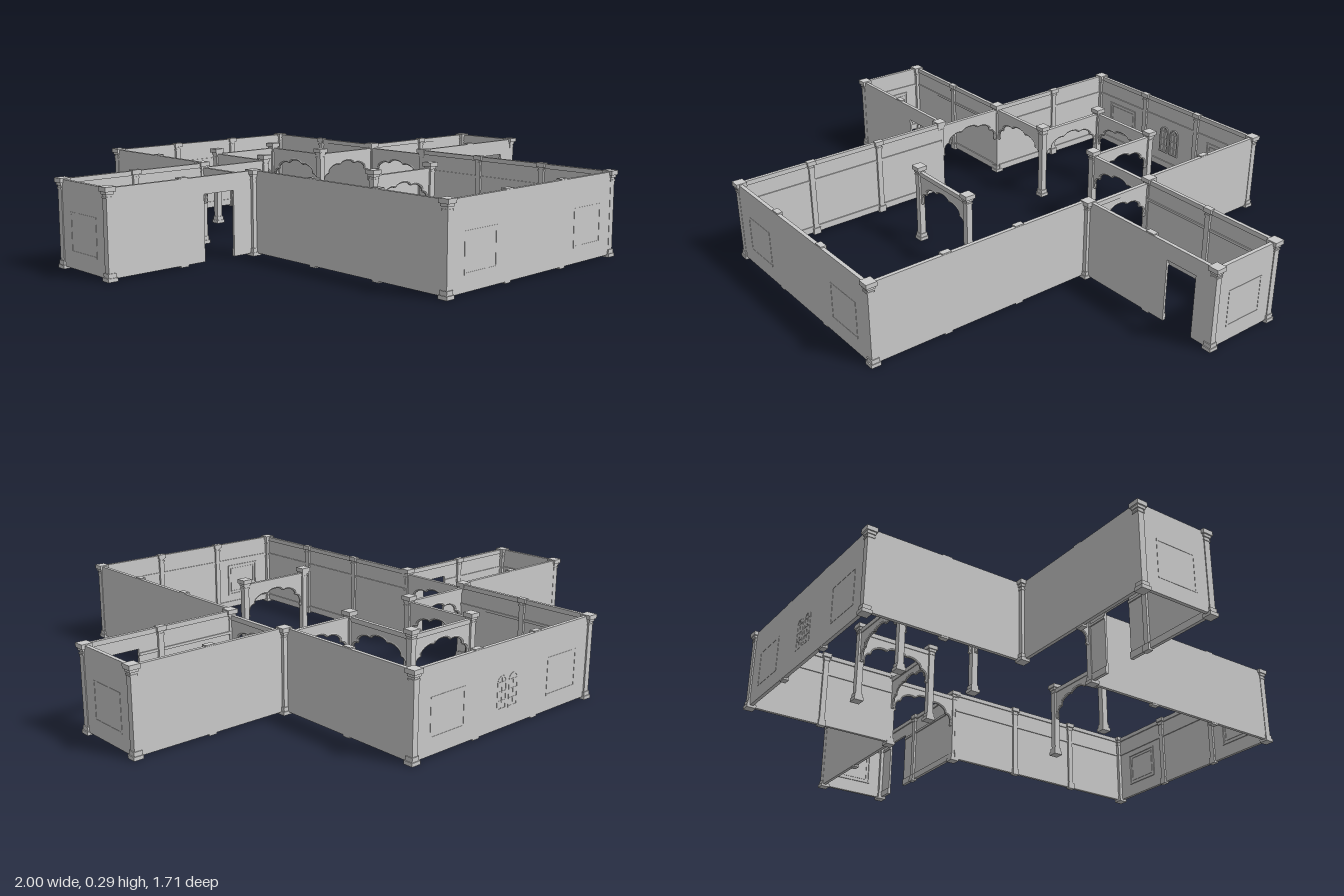
import * as THREE from 'three';

const mat = new THREE.MeshStandardMaterial({ color: 0xcccccc, side: THREE.DoubleSide, flatShading: true });
const H = 0.29, FLOOR = 0.008, THICK = 0.008, DOOR_H = 0.23;

function add(parent, name, geo, x = 0, y = 0, z = 0) {
  const m = new THREE.Mesh(geo, mat);
  m.name = name;
  m.position.set(x, y, z);
  parent.add(m);
  return m;
}

// box given by its min and max corners
function block(parent, name, x0, x1, y0, y1, z0, z1) {
  return add(parent, name, new THREE.BoxGeometry(x1 - x0, y1 - y0, z1 - z0),
    (x0 + x1) / 2, (y0 + y1) / 2, (z0 + z1) / 2);
}

function poly(points) {
  return new THREE.Shape(points.map(([x, y]) => new THREE.Vector2(x, y)));
}

function extrude(shape, depth) {
  return new THREE.ExtrudeGeometry(shape, { depth, bevelEnabled: false, curveSegments: 8 });
}

// group whose local x runs from a to b in plan, with local z to the inside
function run(root, name, [ax, az], [bx, bz]) {
  const g = new THREE.Group();
  g.name = name;
  g.position.set(ax, 0, az);
  g.rotation.y = Math.atan2(-(bz - az), bx - ax);
  root.add(g);
  return [g, Math.hypot(bx - ax, bz - az)];
}

// rectangular moulding ring
function frame(parent, name, x0, x1, y0, y1, z0, z1, w = 0.006) {
  const s = poly([[x0, y0], [x1, y0], [x1, y1], [x0, y1]]);
  s.holes.push(poly([[x0 + w, y0 + w], [x0 + w, y1 - w], [x1 - w, y1 - w], [x1 - w, y0 + w]]));
  add(parent, name, extrude(s, z1 - z0), 0, 0, z0);
}

// pair of round-headed blind windows with glazing bars
function twinWindow(parent, cx) {
  for (const s of [-1, 1]) {
    const x = cx + s * 0.027, w = 0.022;
    const outline = (r) => {
      const sh = new THREE.Shape();
      sh.moveTo(-r, 0.07 + (w - r));
      sh.lineTo(r, 0.07 + (w - r));
      sh.lineTo(r, 0.16);
      sh.absarc(0, 0.16, r, 0, Math.PI, false);
      sh.closePath();
      return sh;
    };
    const ring = outline(w);
    ring.holes.push(outline(w - 0.005));
    add(parent, 'windowFrame', extrude(ring, THICK + 0.006), x, 0, -0.001);
    block(parent, 'windowBar', x - 0.0015, x + 0.0015, 0.073, 0.178, -0.001, THICK + 0.004);
    for (const y of [0.1, 0.13, 0.16]) {
      block(parent, 'windowBar', x - w, x + w, y - 0.0015, y + 0.0015, -0.001, THICK + 0.004);
    }
  }
}

// wall with optional doorway, inside mouldings, pilasters and framed panels
function wall(root, name, a, b, { door, pilasters = [], panels = [], window } = {}) {
  const [g, L] = run(root, name, a, b);
  const pts = [[0, FLOOR]];
  if (door) pts.push([door[0], FLOOR], [door[0], DOOR_H], [door[1], DOOR_H], [door[1], FLOOR]);
  pts.push([L, FLOOR], [L, H - 0.004], [0, H - 0.004]);
  add(g, 'wallPanel', extrude(poly(pts), THICK));
  block(g, 'crown', 0, L, 0.272, H - 0.002, 0, THICK + 0.005);
  for (const [x0, x1] of door ? [[0, door[0]], [door[1], L]] : [[0, L]]) {
    block(g, 'skirting', x0, x1, FLOOR, 0.032, 0.001, THICK + 0.004);
    block(g, 'rail', x0, x1, 0.208, 0.217, 0.001, THICK + 0.004);
  }
  for (const x of pilasters) {
    block(g, 'pilasterShaft', x - 0.01, x + 0.01, 0.02, 0.275, 0.001, THICK + 0.008);
    block(g, 'pilasterBase', x - 0.014, x + 0.014, 0.002, 0.026, 0.001, THICK + 0.012);
    block(g, 'pilasterNeck', x - 0.012, x + 0.012, 0.262, 0.268, 0.001, THICK + 0.01);
    block(g, 'pilasterCapital', x - 0.017, x + 0.017, 0.276, H + 0.002, 0.001, THICK + 0.013);
  }
  for (const [x, w] of panels) {
    frame(g, 'panelFrame', x - w / 2, x + w / 2, 0.06, 0.19, -0.001, THICK + 0.004);
    frame(g, 'panelInset', x - w / 2 + 0.014, x + w / 2 - 0.014, 0.074, 0.176, 0.001, THICK + 0.002, 0.003);
  }
  if (window !== undefined) twinWindow(g, window);
}

// square column: stacked blocks from base to capital
function column(root, x, z) {
  const g = new THREE.Group();
  g.name = 'column';
  g.position.set(x, 0, z);
  root.add(g);
  const parts = [['plinth', 0.034, 0, 0.012], ['base', 0.028, 0.012, 0.026], ['shaft', 0.022, 0.026, 0.268],
    ['neck', 0.026, 0.256, 0.261], ['capitalLower', 0.029, 0.268, 0.277], ['capital', 0.038, 0.277, H + 0.002]];
  for (const [name, w, y0, y1] of parts) block(g, name, -w / 2, w / 2, y0, y1, -w / 2, w / 2);
}

// scalloped arch hung between two columns
function arch(root, a, b) {
  const [g, L] = run(root, 'scallopedArch', a, b);
  const lobes = 5, cx = L / 2, rx = L / 2 - 0.018, ry = 0.082, spring = 0.145, top = 0.262;
  const at = (t, k) => [cx - Math.cos(t) * rx * k, spring + Math.sin(t) * ry * k];
  const s = new THREE.Shape();
  s.moveTo(0.008, top);
  s.lineTo(0.008, spring);
  s.lineTo(...at(0, 1));
  const curves = [];
  for (let i = 0; i < lobes; i++) {
    const t0 = (i / lobes) * Math.PI, t1 = ((i + 1) / lobes) * Math.PI;
    const p0 = at(t0, 1), p1 = at(t1, 1), c0 = at(t0 + 0.1, 1.22), c1 = at(t1 - 0.1, 1.22);
    c0[0] = Math.max(c0[0], 0.012);
    c1[0] = Math.min(c1[0], L - 0.012);
    s.bezierCurveTo(...c0, ...c1, ...p1);
    curves.push(new THREE.CubicBezierCurve3(...[p0, c0, c1, p1].map(([x, y]) => new THREE.Vector3(x, y, 0))));
  }
  s.lineTo(L - 0.008, spring);
  s.lineTo(L - 0.008, top);
  s.closePath();
  add(g, 'spandrel', extrude(s, 0.008), 0, 0, -0.004);
  for (const c of curves) add(g, 'archMoulding', new THREE.TubeGeometry(c, 10, 0.0055, 6));
  block(g, 'beam', 0.005, L - 0.005, 0.256, 0.272, -0.007, 0.007);
}

export function createModel() {
  const root = new THREE.Group();
  root.name = 'walledHall';
  const X = 0.422, Z = 0.846, E = 0.989, B = -0.286, F = -0.004;

  // main hall ends
  const bays = { pilasters: [X - 0.14, X + 0.14], panels: [[0.15, 0.15], [2 * X - 0.15, 0.15]] };
  wall(root, 'backWall', [-X, -Z], [X, -Z], { ...bays, window: X });
  wall(root, 'frontWall', [X, Z], [-X, Z], bays);

  // main hall sides, split by the wing openings
  wall(root, 'leftRearWall', [X, -Z], [X, B], { pilasters: [Z - 0.57] });
  wall(root, 'leftFrontWall', [X, F], [X, Z], { pilasters: [0.285, 0.567] });
  wall(root, 'rightFrontWall', [-X, Z], [-X, F], { pilasters: [Z - 0.563, Z - 0.281] });
  wall(root, 'rightRearWall', [-X, B], [-X, -Z], { pilasters: [0.284] });

  // wings, each with one doorway in its front wall
  wall(root, 'leftWingBackWall', [X, B], [E, B], { pilasters: [0.71 - X] });
  wall(root, 'leftWingEndWall', [E, B], [E, F], { panels: [[0.141, 0.15]] });
  wall(root, 'leftWingFrontWall', [E, F], [X, F], { pilasters: [E - 0.71], door: [E - 0.91, E - 0.79] });
  wall(root, 'rightWingBackWall', [-E, B], [-X, B], { pilasters: [E - 0.71] });
  wall(root, 'rightWingEndWall', [-E, F], [-E, B], { panels: [[0.141, 0.15]] });
  wall(root, 'rightWingFrontWall', [-X, F], [-E, F], { pilasters: [0.71 - X], door: [0.51 - X, 0.63 - X] });

  // columns and arches, mirrored left and right
  for (const s of [-1, 1]) {
    for (const [x, z] of [[0.413, -0.84], [0.413, 0.836], [0.426, -0.286], [0.426, -0.004], [0.981, -0.276],
      [0.981, -0.014], [0.142, -0.57], [0.142, -0.286], [0.142, 0.281]]) column(root, s * x, z);
    arch(root, [s * 0.142, -0.286], [s * 0.426, -0.286]);
    arch(root, [s * 0.142, -0.57], [s * 0.142, -0.286]);
    arch(root, [s * 0.424, -0.286], [s * 0.424, -0.004]);
  }
  arch(root, [-0.142, -0.57], [0.142, -0.57]);
  arch(root, [-0.142, 0.281], [0.142, 0.281]);
  return root;
}
